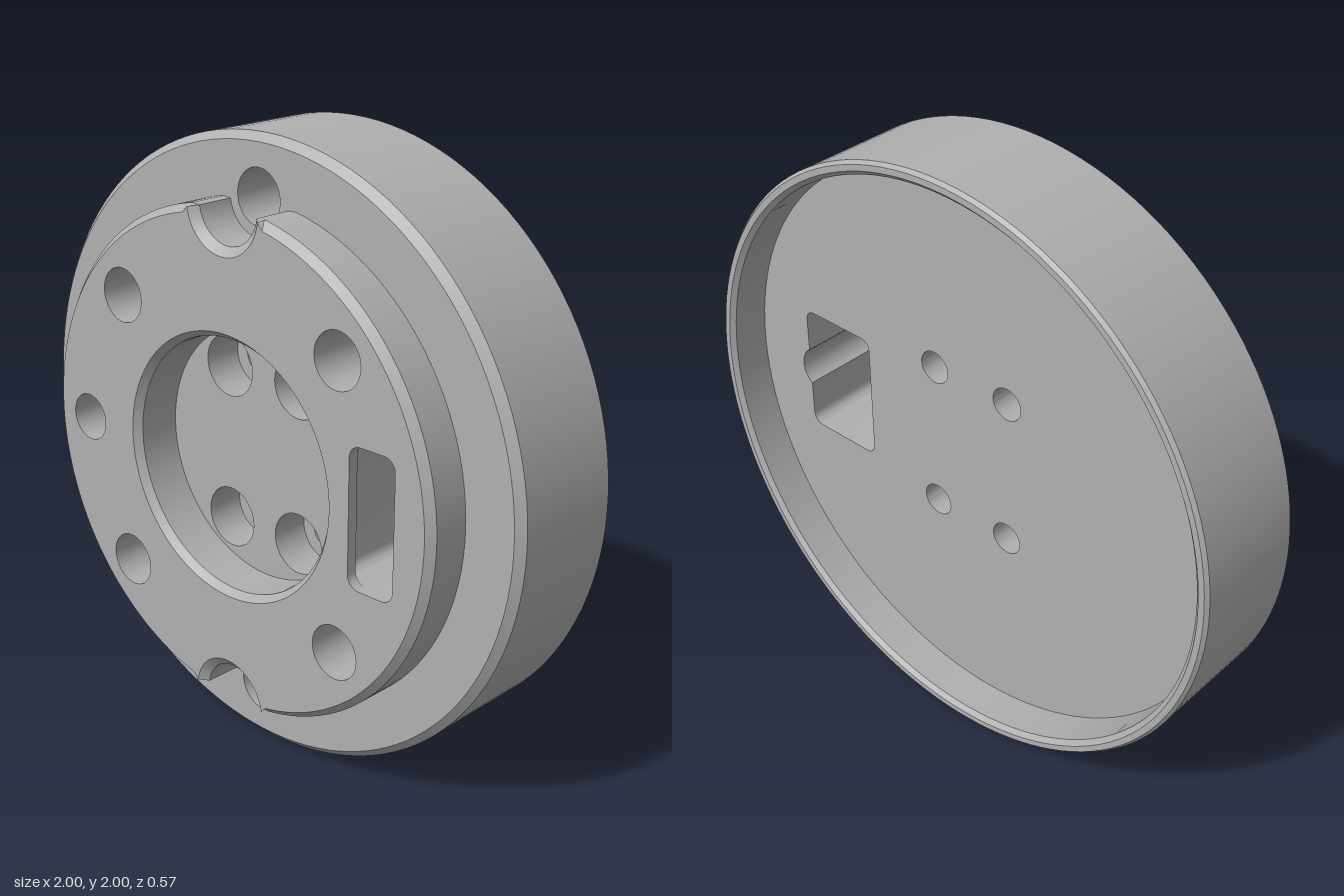
import * as THREE from 'three';
import { toCreasedNormals } from 'three/addons/utils/BufferGeometryUtils.js';

const grey = new THREE.MeshStandardMaterial({ color: 0xb0b0b0 });
grey.name = 'machined grey';

// Counter-clockwise loops of 2D points
const arc = (r, cx, cy, a0, a1, n) => Array.from({ length: n + 1 }, (_, i) => {
  const a = a0 + (a1 - a0) * i / n;
  return new THREE.Vector2(cx + r * Math.cos(a), cy + r * Math.sin(a));
});
const circle = (r, cx = 0, cy = 0, n = 40) => arc(r, cx, cy, 0, 2 * Math.PI, n).slice(0, n);

// Rectangle with rounded corners; an optional bump bulges from its +x side
function roundedRect(x0, x1, h, r, bump) {
  const q = Math.PI / 2;
  const points = [...arc(r, x0 + r, -h + r, 2 * q, 3 * q, 6), ...arc(r, x1 - r, -h + r, 3 * q, 4 * q, 6)];
  if (bump) {
    const a = Math.acos((x1 - bump.x) / bump.r);
    points.push(...arc(bump.r, bump.x, 0, -a, a, 14));
  }
  return [...points, ...arc(r, x1 - r, h - r, 0, q, 6), ...arc(r, x0 + r, h - r, q, 2 * q, 6)];
}

// Boss outline: a circle with a round notch at top and bottom
function bossLoop(R, notchR, mouth) {
  const a = Math.asin(mouth / R), c = 0.81, points = [];
  for (const turn of [0, Math.PI]) {
    const half = [
      ...arc(R, 0, 0, -Math.PI / 2 + a, Math.PI / 2 - a, 64),
      ...arc(notchR, 0, c, -0.15, -Math.PI + 0.15, 28),
    ];
    points.push(...half.map(p => p.rotateAround(new THREE.Vector2(), turn)));
  }
  return points;
}

// Wall between two matching loops, facing outward, or inward for holes
function wall(loopA, zA, loopB = loopA, zB, inward = false) {
  const pos = [], n = loopA.length;
  for (let i = 0; i < n; i++) {
    const j = (i + 1) % n;
    const a = [loopA[i].x, loopA[i].y, zA], b = [loopA[j].x, loopA[j].y, zA];
    const c = [loopB[j].x, loopB[j].y, zB], d = [loopB[i].x, loopB[i].y, zB];
    for (const p of inward ? [a, c, b, a, d, c] : [a, b, c, a, c, d]) pos.push(...p);
  }
  const g = new THREE.BufferGeometry();
  g.setAttribute('position', new THREE.Float32BufferAttribute(pos, 3));
  return toCreasedNormals(g, 0.5);
}

// Flat face with holes, facing front or back
function face(loop, holes, z, back = false) {
  const shape = new THREE.Shape(loop);
  shape.holes = holes.map(h => new THREE.Path(h));
  const g = new THREE.ShapeGeometry(shape);
  if (back) {
    g.index.array.reverse();
    g.computeVertexNormals();
  }
  return g.translate(0, 0, z);
}

export function createModel() {
  const model = new THREE.Group();
  model.name = 'mountingFlange';
  const body = new THREE.Group();
  body.name = 'body';
  body.position.y = 1;
  model.add(body);
  const add = (name, geometry) => {
    const mesh = new THREE.Mesh(geometry, grey);
    mesh.name = name;
    body.add(mesh);
  };
  const ring = r => circle(r, 0, 0, 128);

  // Depth levels
  const back = -0.285, web = -0.145, shoulder = 0.135, front = 0.285;
  const floor = 0.12, seat = -0.01, blind = -0.05, lip = 0.25;

  // Openings
  const slot = roundedRect(0.505, 0.675, 0.222, 0.04);
  const pocket = roundedRect(0.44, 0.73, 0.222, 0.035, { x: 0.685, r: 0.08 });
  const bolts = [], pins = [];
  for (const sx of [-1, 1]) for (const sy of [-1, 1]) {
    bolts.push([sx * 0.148, sy * 0.257]);
    pins.push(circle(0.088, sx * 0.455, sy * 0.455));
  }
  pins.push(circle(0.078, -0.645, 0));
  const notchPins = [1, -1].map(s => circle(0.088, 0, s * 0.813));
  const counterbores = bolts.map(([x, y]) => circle(0.1, x, y));
  const throughs = bolts.map(([x, y]) => circle(0.055, x, y));

  // Outer drum with chamfered edges
  add('drumBackChamfer', wall(ring(0.99), back, ring(1), back + 0.012));
  add('drumSide', wall(ring(1), back + 0.012, ring(1), 0.11));
  add('drumFrontChamfer', wall(ring(1), 0.11, ring(0.975), shoulder));

  // Raised boss with two notches
  const boss = bossLoop(0.808, 0.12, 0.15), bossTop = bossLoop(0.785, 0.148, 0.165);
  add('shoulderFace', face(ring(0.975), [boss, ...notchPins], shoulder));
  add('bossSide', wall(boss, shoulder, boss, 0.26));
  add('bossChamfer', wall(boss, 0.26, bossTop, front));
  add('bossFace', face(bossTop, [ring(0.43), ...pins, slot], front));

  // Central recess
  add('recessChamfer', wall(ring(0.41), 0.26, ring(0.43), front, true));
  add('recessWall', wall(ring(0.41), floor, ring(0.41), 0.26, true));
  add('recessFloor', face(ring(0.41), counterbores, floor));

  // Counterbored bolt holes
  counterbores.forEach((bore, i) => {
    add('counterbore', wall(bore, seat, bore, floor, true));
    add('boltSeat', face(bore, [throughs[i]], seat));
    add('boltHole', wall(throughs[i], web, throughs[i], seat, true));
  });

  // Blind holes
  for (const [list, top] of [[pins, front], [notchPins, shoulder]]) {
    for (const hole of list) {
      add('pinHole', wall(hole, blind, hole, top, true));
      add('pinHoleBottom', face(hole, [], blind));
    }
  }

  // Slot opening into a wider rear pocket
  add('slotWall', wall(slot, lip, slot, front, true));
  add('slotLip', face(pocket, [slot], lip, true));
  add('pocketWall', wall(pocket, web, pocket, lip, true));

  // Hollow back with a thin stepped rim
  add('rimFace', face(ring(0.99), [ring(0.97)], back, true));
  add('rimChamfer', wall(ring(0.97), back, ring(0.955), back + 0.015, true));
  add('rimInnerWall', wall(ring(0.955), back + 0.015, ring(0.955), web, true));
  add('backFace', face(ring(0.955), [...throughs, pocket], web, true));

  return model;
}
